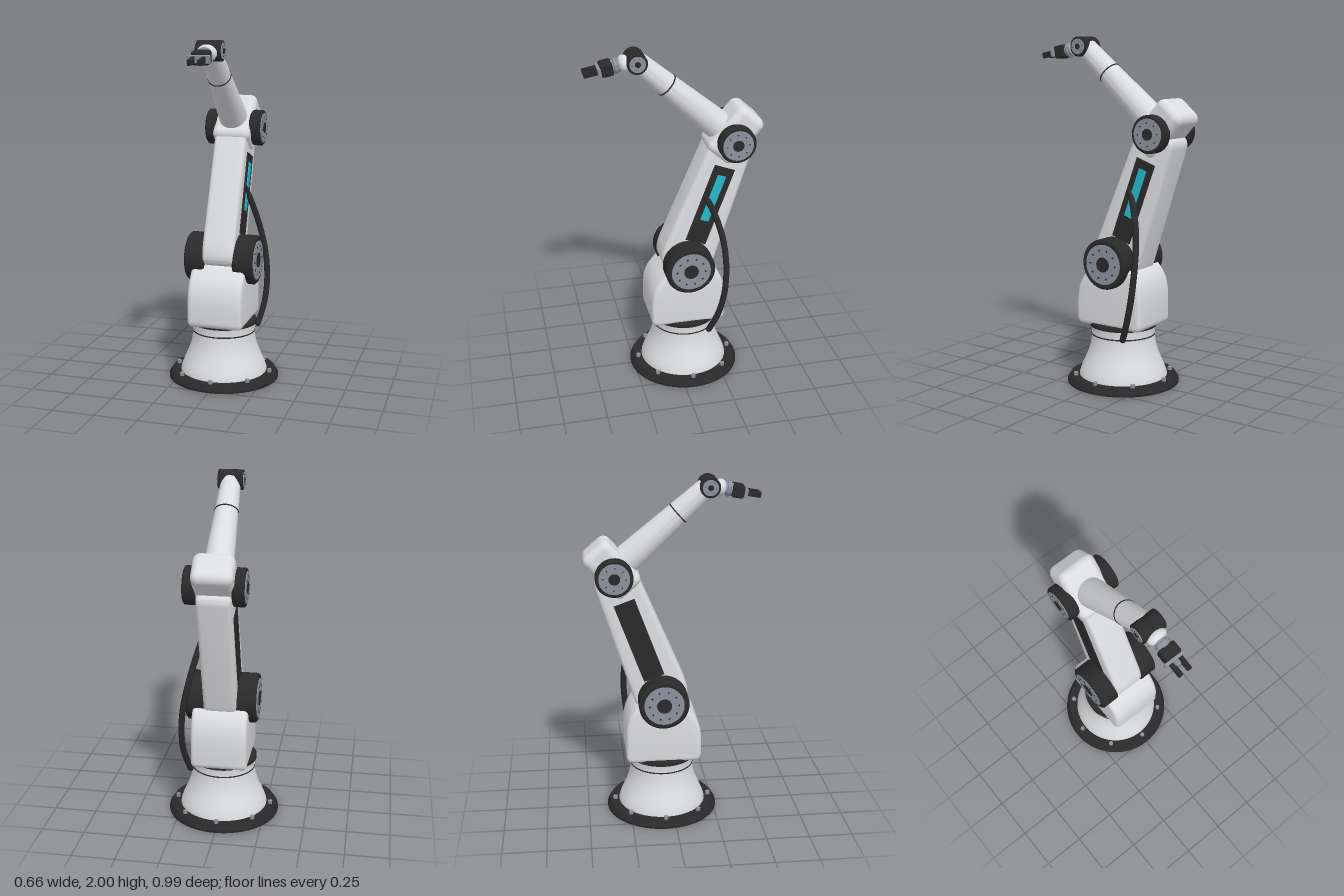
import * as THREE from 'three';
import { toCreasedNormals } from 'three/addons/utils/BufferGeometryUtils.js';
import { RoundedBoxGeometry } from 'three/addons/geometries/RoundedBoxGeometry.js';

function material(name, color) {
  const m = new THREE.MeshStandardMaterial({ color });
  m.name = name;
  return m;
}
const white = material('white paint', 0xdcdde0);
const dark = material('dark rubber', 0x2a2a2b);
const silver = material('machined metal', 0x8c919c);
const cyan = material('cyan light', 0x27b8cc);

function add(parent, name, geometry, mat, x = 0, y = 0, z = 0) {
  const mesh = new THREE.Mesh(geometry, mat);
  mesh.name = name;
  mesh.position.set(x, y, z);
  parent.add(mesh);
  return mesh;
}

// A group at (0, y, z) whose local y axis leans toward +z by the given angle
function frame(parent, name, y, z, angle = 0) {
  const g = new THREE.Group();
  g.name = name;
  g.position.set(0, y, z);
  g.rotation.x = angle;
  parent.add(g);
  return g;
}

// Solid of revolution around y from [radius, height] pairs, bottom to top
function turned(profile, segments = 48) {
  const pts = profile.map(([r, h]) => new THREE.Vector2(r, h));
  return toCreasedNormals(new THREE.LatheGeometry(pts, segments), 0.5);
}

// Side outline (z, y) extruded across x with rounded edges
function slab(shape, width, bevel) {
  const geo = new THREE.ExtrudeGeometry(shape, {
    depth: width - 2 * bevel, bevelThickness: bevel, bevelSize: bevel,
    bevelOffset: -bevel, bevelSegments: 4, curveSegments: 10,
  });
  geo.translate(0, 0, bevel - width / 2);
  geo.rotateY(-Math.PI / 2);
  return toCreasedNormals(geo, 0.6);
}

// A motor drum with a metal cap on each side, from x = inner to x = outer
function joint(parent, name, r, inner, outer, capR, hubR, boltCount) {
  for (const side of [1, -1]) {
    const g = new THREE.Group();
    g.name = name + (side > 0 ? 'Left' : 'Right');
    g.rotation.z = -side * Math.PI / 2;
    parent.add(g);
    const b = r * 0.07;
    add(g, 'drum', turned([[0, inner], [r - b, inner], [r, inner + b], [r, outer - b], [r - b, outer], [0, outer]]), dark);
    add(g, 'cap', turned([[capR, outer - 0.002], [capR, outer + 0.004], [0, outer + 0.004]]), silver);
    add(g, 'hub', turned([[hubR, outer], [hubR, outer + 0.007], [0, outer + 0.007]], 32), dark);
    for (let i = 0; i < boltCount; i++) {
      const a = (i / boltCount) * Math.PI * 2, d = (capR + hubR) * 0.53;
      add(g, 'capBolt', new THREE.CylinderGeometry(r * 0.04, r * 0.04, 0.004, 6), dark,
        Math.cos(a) * d, outer + 0.005, Math.sin(a) * d);
    }
  }
}

export function createModel() {
  const model = new THREE.Group();
  model.name = 'robotArm';

  // Base with bolts, flared pedestal and turntable ring
  const base = frame(model, 'base', 0, -0.057);
  add(base, 'footPlate', turned([[0, 0], [0.328, 0], [0.328, 0.012], [0.31, 0.04], [0, 0.04]], 64), dark);
  add(base, 'pedestal', turned([
    [0.258, 0.038], [0.257, 0.05], [0.247, 0.08], [0.23, 0.12], [0.212, 0.16], [0.198, 0.2],
    [0.189, 0.24], [0.185, 0.28], [0.185, 0.31], [0.188, 0.337], [0, 0.337],
  ], 64), white);
  add(base, 'pedestalSeam', turned([[0.183, 0.283], [0.187, 0.283], [0.187, 0.29], [0.183, 0.29]], 64), dark);
  add(base, 'turntableRing', turned([[0, 0.335], [0.195, 0.335], [0.195, 0.355], [0.19, 0.36], [0, 0.36]], 64), dark);
  for (let i = 0; i < 8; i++) {
    const a = i * Math.PI / 4;
    add(base, 'baseBolt', new THREE.CylinderGeometry(0.014, 0.014, 0.022, 6), silver,
      Math.cos(a) * 0.282, 0.048, Math.sin(a) * 0.282);
  }

  // Turret housing
  const body = new THREE.Shape();
  body.moveTo(-0.235, 0.345);
  body.lineTo(0.125, 0.345);
  body.quadraticCurveTo(0.165, 0.345, 0.165, 0.39);
  body.lineTo(0.165, 0.48);
  body.bezierCurveTo(0.165, 0.6, 0.11, 0.64, 0.075, 0.685);
  body.quadraticCurveTo(0.055, 0.71, 0.02, 0.71);
  body.lineTo(-0.15, 0.71);
  body.quadraticCurveTo(-0.19, 0.71, -0.21, 0.69);
  body.bezierCurveTo(-0.25, 0.65, -0.275, 0.6, -0.275, 0.5);
  body.lineTo(-0.275, 0.39);
  body.quadraticCurveTo(-0.275, 0.345, -0.235, 0.345);
  add(model, 'turret', slab(body, 0.325, 0.025), white);

  // Shoulder and upper arm
  const shoulder = frame(model, 'upperArm', 0.725, -0.057, -0.35);
  joint(shoulder, 'shoulderJoint', 0.145, 0.085, 0.205, 0.115, 0.043, 10);
  const arm = new THREE.Shape();
  arm.moveTo(-0.1, -0.06);
  arm.lineTo(0.1, -0.06);
  arm.quadraticCurveTo(0.16, -0.06, 0.16, 0.06);
  arm.lineTo(0.125, 0.74);
  arm.quadraticCurveTo(0.12, 0.8, 0.07, 0.8);
  arm.lineTo(-0.07, 0.8);
  arm.quadraticCurveTo(-0.12, 0.8, -0.125, 0.74);
  arm.lineTo(-0.155, 0.06);
  arm.quadraticCurveTo(-0.16, -0.06, -0.1, -0.06);
  add(shoulder, 'armShell', slab(arm, 0.192, 0.025), white);
  for (const side of [1, -1]) {
    add(shoulder, 'sidePanel', new THREE.BoxGeometry(0.009, 0.485, 0.124), dark, side * 0.097, 0.385, 0);
  }
  add(shoulder, 'statusLight', new THREE.BoxGeometry(0.006, 0.29, 0.05), cyan, 0.103, 0.432, 0);

  // Elbow and forearm
  const elbow = frame(model, 'forearm', 1.47, -0.327, 0.848);
  add(elbow, 'elbowHousing', new RoundedBoxGeometry(0.23, 0.19, 0.32, 5, 0.045), white, 0, 0.01, -0.024);
  joint(elbow, 'elbowJoint', 0.106, 0.1, 0.168, 0.087, 0.032, 8);
  add(elbow, 'forearmTube', turned([[0.084, 0.06], [0.083, 0.13], [0.066, 0.49], [0.057, 0.7], [0, 0.7]]), white);
  add(elbow, 'forearmSeam', turned([[0.064, 0.486], [0.0685, 0.486], [0.0685, 0.493], [0.064, 0.493]]), dark);

  // Wrist and gripper
  const wrist = frame(model, 'wrist', 1.943, 0.212, 1.75);
  joint(wrist, 'wristJoint', 0.057, 0, 0.072, 0.044, 0.016, 6);
  const ball = add(wrist, 'wristBall', new THREE.SphereGeometry(0.057, 32, 20), white, 0, 0.064, 0);
  ball.scale.set(1, 0.62, 0.85);
  add(wrist, 'toolFlange', turned([[0, 0.085], [0.036, 0.085], [0.036, 0.1], [0.043, 0.103], [0.043, 0.118], [0.036, 0.122], [0.036, 0.132], [0, 0.132]], 32), silver);
  add(wrist, 'gripperBody', new RoundedBoxGeometry(0.098, 0.068, 0.074, 3, 0.012), dark, 0, 0.162, 0);
  add(wrist, 'gripperRail', new RoundedBoxGeometry(0.125, 0.018, 0.045, 2, 0.005), silver, 0, 0.204, 0);
  for (const side of [1, -1]) {
    add(wrist, 'finger', new THREE.BoxGeometry(0.018, 0.08, 0.032), dark, side * 0.03, 0.25, 0);
    add(wrist, 'fingerPad', new THREE.BoxGeometry(0.008, 0.05, 0.026), dark, side * 0.019, 0.262, 0);
  }

  // Cable from the pedestal to the arm panel
  const path = new THREE.CatmullRomCurve3([
    [0.18, 0.3, -0.175], [0.207, 0.42, -0.222], [0.215, 0.56, -0.255], [0.2, 0.73, -0.267],
    [0.168, 0.88, -0.255], [0.137, 1.0, -0.225], [0.11, 1.09, -0.19], [0.09, 1.14, -0.165],
  ].map((p) => new THREE.Vector3(...p)));
  add(model, 'cable', new THREE.TubeGeometry(path, 48, 0.018, 12), dark);
  for (const t of [0, 1]) {
    const end = path.getPoint(t);
    add(model, 'cableEnd', new THREE.SphereGeometry(0.018, 12, 8), dark, end.x, end.y, end.z);
  }
  return model;
}
